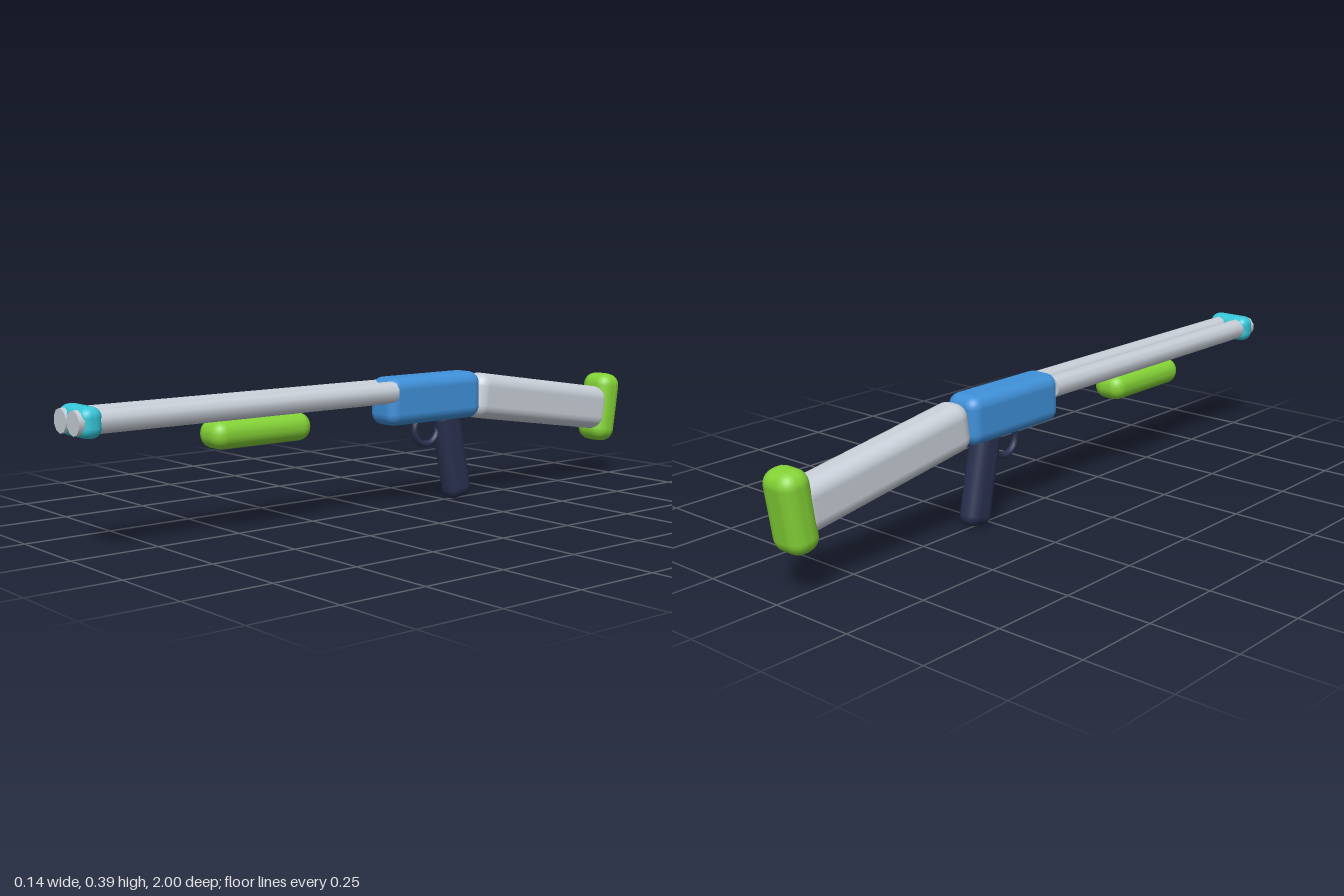
import * as THREE from 'three';
import { RoundedBoxGeometry } from 'three/addons/geometries/RoundedBoxGeometry.js';

const material = (name, color) => {
  const m = new THREE.MeshStandardMaterial({ color });
  m.name = name;
  return m;
};

export function createModel() {
  const silver = material('silver', 0xc8cfd8);
  const lime = material('lime', 0x84d236);
  const blue = material('blue', 0x3f90d9);
  const cyan = material('cyan', 0x36c6d8);
  const navy = material('navy', 0x2a3150);

  const model = new THREE.Group();
  model.name = 'toyBlaster';

  const add = (name, geometry, mat, y, z, tilt = 0, x = 0) => {
    const mesh = new THREE.Mesh(geometry, mat);
    mesh.name = name;
    mesh.position.set(x, y, z);
    mesh.rotation.x = tilt;
    model.add(mesh);
    return mesh;
  };
  // Soft-edged block: width, height, depth, edge radius
  const block = (w, h, d, r) => new RoundedBoxGeometry(w, h, d, 3, r);

  // Twin barrels, running from the receiver to the muzzle
  const barrel = new THREE.CylinderGeometry(0.032, 0.032, 1.015, 10);
  barrel.rotateX(Math.PI / 2);
  add('leftBarrel', barrel, silver, 0.347, 0.4925, 0, 0.033);
  add('rightBarrel', barrel, silver, 0.347, 0.4925, 0, -0.033);

  // Band around the muzzle and hand grip under the barrels
  add('muzzleBand', block(0.141, 0.08, 0.062, 0.027), cyan, 0.347, 0.962);
  add('foreGrip', block(0.105, 0.078, 0.322, 0.037), lime, 0.277, 0.439);

  // Receiver body
  add('receiver', block(0.112, 0.14, 0.362, 0.035), blue, 0.318, -0.174);

  // Raked grip with the trigger guard ring in front of it
  add('pistolGrip', block(0.069, 0.282, 0.09, 0.032), navy, 0.143, -0.274, 0.21);
  const guard = new THREE.TorusGeometry(0.046, 0.01, 8, 20);
  guard.rotateY(Math.PI / 2);
  add('triggerGuard', guard, navy, 0.224, -0.174);

  // Sloping stock and its end pad
  add('stock', block(0.1, 0.138, 0.6, 0.04), silver, 0.269, -0.643, -0.15);
  add('buttPad', block(0.113, 0.222, 0.092, 0.04), lime, 0.229, -0.94, -0.15);

  return model;
}
